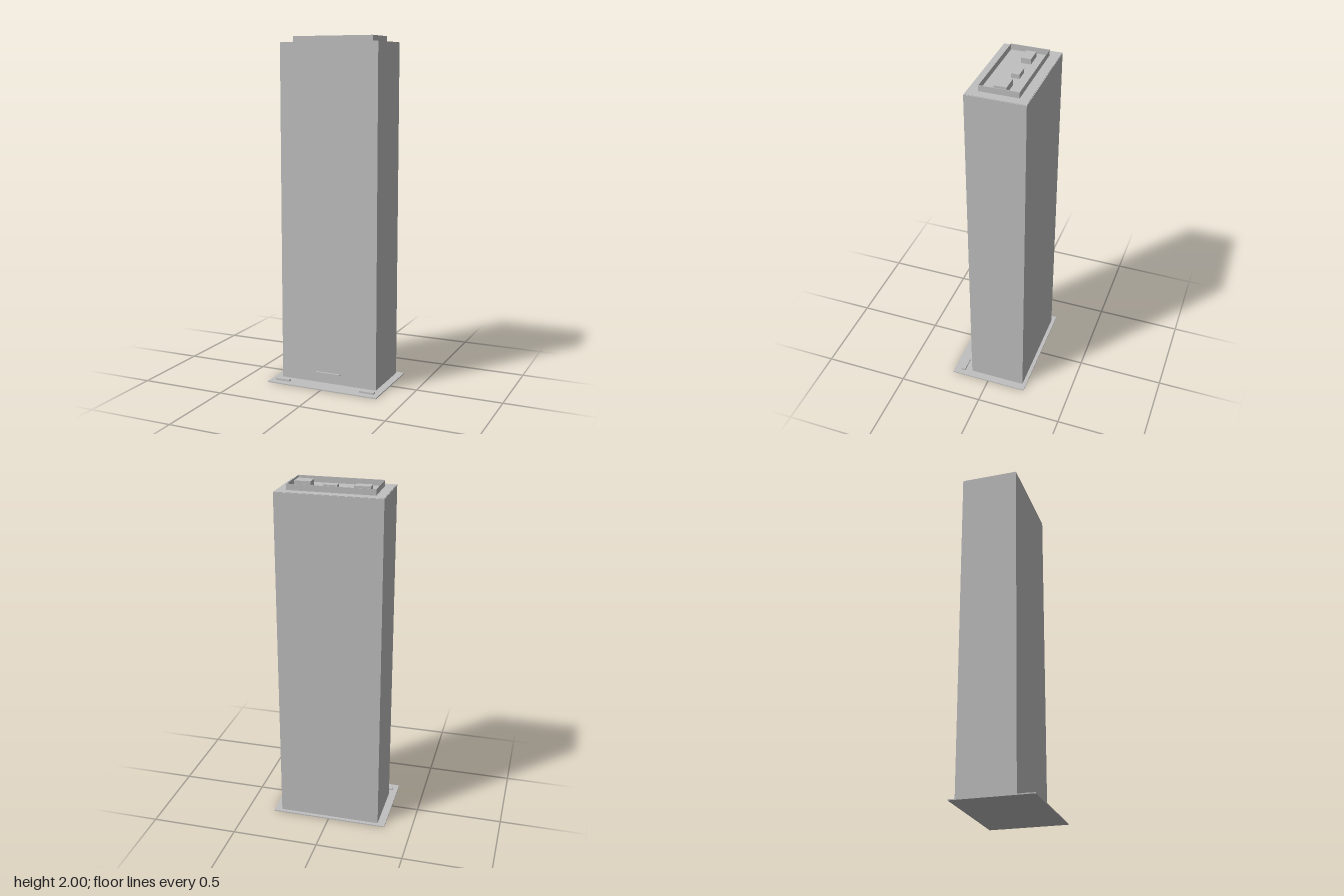
import * as THREE from 'three';

const concrete = new THREE.MeshStandardMaterial({ color: 0xbfbfbf });
concrete.name = 'concrete grey';

export function createModel() {
  const model = new THREE.Group();
  model.name = 'towerBlock';

  // Box given by its extents along each axis
  function box(name, x0, x1, y0, y1, z0, z1) {
    const mesh = new THREE.Mesh(new THREE.BoxGeometry(x1 - x0, y1 - y0, z1 - z0), concrete);
    mesh.position.set((x0 + x1) / 2, (y0 + y1) / 2, (z0 + z1) / 2);
    mesh.name = name;
    model.add(mesh);
  }

  // Ground slab, main shaft and the slightly inset roof deck
  const ROOF = 1.965;
  box('groundSlab', -0.341, 0.341, 0, 0.006, -0.232, 0.23);
  box('towerShaft', -0.297, 0.297, 0.006, ROOF - 0.002, -0.21, 0.12);
  box('roofDeck', -0.294, 0.294, ROOF - 0.002, ROOF, -0.207, 0.117);

  // Thin hollow parapet around the roof
  const outline = new THREE.Shape();
  const ring = (path, x, z0, z1) => path
    .moveTo(-x, -z1).lineTo(x, -z1).lineTo(x, -z0).lineTo(-x, -z0).closePath();
  ring(outline, 0.242, -0.155, 0.063);
  const opening = new THREE.Path();
  ring(opening, 0.239, -0.152, 0.06);
  outline.holes.push(opening);
  const parapet = new THREE.Mesh(
    new THREE.ExtrudeGeometry(outline, { depth: 0.033, bevelEnabled: false }), concrete);
  parapet.rotation.x = -Math.PI / 2;
  parapet.position.y = ROOF;
  parapet.name = 'roofParapet';
  model.add(parapet);

  // Rooftop equipment: x0, x1, z0, z1, height
  [
    [-0.2, -0.111, -0.095, -0.04, 0.03],
    [-0.017, 0.058, -0.09, -0.046, 0.025],
    [0.13, 0.221, -0.08, -0.011, 0.035],
  ].forEach(([x0, x1, z0, z1, h], i) =>
    box('roofUnit' + (i + 1), x0, x1, ROOF, ROOF + h, z0, z1));

  // Entrance canopy
  box('entranceCanopy', -0.076, 0.076, 0.065, 0.07, 0.12, 0.133);

  // Planters at the front corners
  box('rightPlanter', -0.309, -0.221, 0.006, 0.016, 0.163, 0.188);
  box('leftPlanter', 0.221, 0.309, 0.006, 0.016, 0.163, 0.188);

  return model;
}
